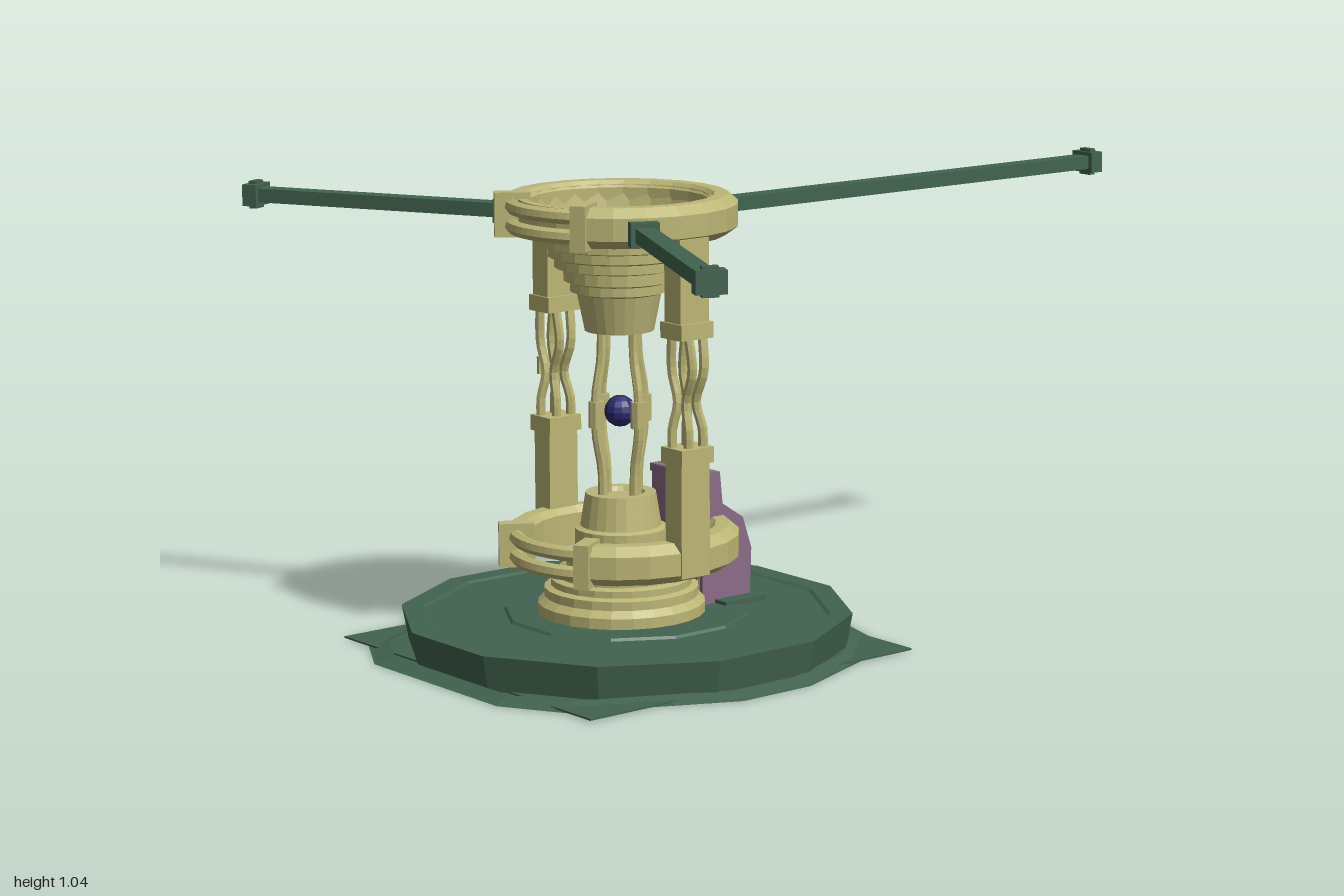
import * as THREE from 'three';

const CX = -0.48; // axis of the central machine
const mat = (color, side = THREE.FrontSide) => {
  const m = new THREE.MeshStandardMaterial({ color, flatShading: true, side });
  return m;
};
const green = mat(0x42634f), greenThin = mat(0x42634f, THREE.DoubleSide);
const brass = mat(0xbcb676), purple = mat(0x8a6c88), blue = mat(0x2c2c70);
const pts = (list) => list.map(([x, y]) => new THREE.Vector2(x, y));

function add(parent, name, geometry, material, x = 0, y = 0, z = 0) {
  const m = new THREE.Mesh(geometry, material);
  m.name = name;
  m.position.set(x, y, z);
  parent.add(m);
  return m;
}
const box = (p, name, m, w, h, d, x, y, z) => add(p, name, new THREE.BoxGeometry(w, h, d), m, x, y, z);
const lathe = (p, name, m, profile, seg) => add(p, name, new THREE.LatheGeometry(pts(profile), seg), m);
const tube = (p, name, m, list, r) => add(p, name, new THREE.TubeGeometry(
  new THREE.CatmullRomCurve3(list.map((v) => new THREE.Vector3(...v))), 14, r, 7), m);

// Twelve-sided plinth with a flared, uneven skirt and a square sheet under it
function base(root) {
  const half = [[-1, 0.23], [-0.92, 0.37], [-0.57, 0.54], [-0.38, 0.54], [-0.15, 0.45], [0, 0.31], [0.035, 0.19]];
  const outline = [...half, [0.063, 0], ...half.map(([x, z]) => [x, -z]).reverse()];
  const skirt = add(root, 'baseSkirt', new THREE.ShapeGeometry(new THREE.Shape(pts(outline))), greenThin, 0, 0.002, 0);
  skirt.rotation.x = -Math.PI / 2;
  // raise the middle of the skirt with a sloping rim
  const pos = [], n = outline.length;
  for (let i = 0; i < n; i++) {
    const [a, b] = [outline[i], outline[(i + 1) % n]];
    const up = ([x, z]) => [-0.467 + (x + 0.467) * 0.92, 0.014, z * 0.92];
    const A = [a[0], 0, a[1]], B = [b[0], 0, b[1]], C = up(b), D = up(a);
    pos.push(...A, ...B, ...C, ...A, ...C, ...D);
  }
  const rim = new THREE.BufferGeometry();
  rim.setAttribute('position', new THREE.Float32BufferAttribute(pos, 3));
  rim.computeVertexNormals();
  add(root, 'skirtSlope', rim, greenThin);
  box(root, 'baseSheet', green, 0.915, 0.004, 0.92, -0.467, 0.005, 0);

  const plinth = lathe(root, 'plinth', green, [[0, 0.004], [0.5, 0.004], [0.515, 0.085], [0.465, 0.085],
    [0.458, 0.08], [0.28, 0.08], [0.275, 0.086], [0.21, 0.086], [0, 0.086]], 12);
  plinth.position.x = -0.467;
  plinth.rotation.y = Math.PI / 12;
  add(root, 'undersideDisc', new THREE.CylinderGeometry(0.16, 0.16, 0.001, 28), brass, CX, 0.0005, 0);
  box(root, 'cabinetFoot', green, 0.12, 0.012, 0.26, -0.22, 0.088, 0);
}

// Stepped pedestal, glass-less core with bowed rods, and stepped funnel
function core(root) {
  const g = new THREE.Group();
  g.name = 'core';
  g.position.x = CX;
  root.add(g);
  lathe(g, 'pedestal', brass, [[0.19, 0.08], [0.19, 0.11], [0.175, 0.125], [0.175, 0.145], [0.16, 0.15], [0.16, 0.165],
    [0.145, 0.17], [0.145, 0.185], [0.125, 0.195], [0.125, 0.22], [0.105, 0.23], [0.105, 0.28], [0.092, 0.285],
    [0.08, 0.36], [0.055, 0.36], [0.05, 0.35], [0, 0.35]], 24);
  lathe(g, 'funnel', brass, [[0, 0.73], [0.078, 0.73], [0.095, 0.815], [0.11, 0.82], [0.11, 0.84], [0.125, 0.845],
    [0.125, 0.87], [0.145, 0.875], [0.145, 0.895], [0.16, 0.9], [0.16, 0.92], [0.18, 0.925], [0.18, 0.945],
    [0.225, 0.955], [0.225, 1.03], [0.205, 1.03], [0.195, 0.975], [0, 0.975]], 24);
  for (let i = 0; i < 4; i++) {
    const rod = new THREE.Group();
    rod.name = 'coreRod';
    rod.rotation.y = i * Math.PI / 2;
    g.add(rod);
    tube(rod, 'bowedRod', brass, [[0.05, 0.35, 0], [0.052, 0.42, 0], [0.067, 0.5, 0], [0.067, 0.59, 0], [0.052, 0.67, 0], [0.05, 0.74, 0]], 0.011);
    add(rod, 'rodCollar', new THREE.CylinderGeometry(0.018, 0.018, 0.06, 8), brass, 0.067, 0.545, 0);
  }
  add(g, 'coreOrb', new THREE.SphereGeometry(0.036, 12, 8), blue, 0, 0.545, 0);
}

// C-shaped ring whose gap on the -x side is bridged by a clamped pipe
function ring(root, name, y) {
  const g = new THREE.Group();
  g.name = name;
  g.position.set(CX, y, 0);
  root.add(g);
  const gap = 0.58;
  const profile = pts([[0.2, -0.045], [0.24, -0.045], [0.268, -0.025], [0.268, 0.025], [0.245, 0.045],
    [0.215, 0.045], [0.2, 0.03], [0.2, -0.045]]);
  add(g, 'ringBand', new THREE.LatheGeometry(profile, 18, Math.PI * 1.5 + gap, 2 * Math.PI - 2 * gap), brass);
  const arc = [];
  for (let i = -4; i <= 4; i++) {
    const a = Math.PI + i / 4 * (gap + 0.05);
    arc.push([Math.cos(a) * 0.238, 0, Math.sin(a) * 0.238]);
  }
  for (const dy of [-0.022, 0.022]) tube(g, 'bridgePipe', brass, arc.map(([x, , z]) => [x, dy, z]), 0.017);
  for (const s of [-1, 1]) {
    const a = Math.PI + s * gap;
    const end = box(g, 'ringClamp', brass, 0.08, 0.1, 0.035, Math.cos(a) * 0.236, 0.002, Math.sin(a) * 0.236);
    end.rotation.y = -a;
  }
}

// Box posts front and back, joined by bundles of bent cables
function column(root, s) {
  const g = new THREE.Group();
  g.name = s > 0 ? 'frontColumn' : 'backColumn';
  g.position.set(CX, 0, s * 0.24);
  root.add(g);
  box(g, 'lowerPost', brass, 0.08, 0.27, 0.056, 0, 0.345, 0);
  box(g, 'upperPost', brass, 0.08, 0.21, 0.056, 0, 0.86, 0);
  for (const y of [0.483, 0.762]) box(g, 'postCollar', brass, 0.09, 0.036, 0.074, 0, y, 0);
  for (let i = 0; i < 4; i++) {
    const x = (i - 1.5) * 0.02, z = (i % 2 ? 1 : -1) * 0.016, k = i % 2 ? 0.012 : -0.008;
    tube(g, 'cable', brass, [[x, 0.48, z], [x, 0.54, z], [x * 0.7, 0.6, z - k], [x * 0.8, 0.67, z + k], [x, 0.76, z]], 0.011);
  }
  if (s < 0) {
    box(g, 'valveStem', brass, 0.014, 0.014, 0.035, 0, 0.61, -0.028);
    box(g, 'valveHandle', brass, 0.03, 0.04, 0.008, 0, 0.61, -0.046);
  }
}

// Radial arm with a bracket at each end
function arm(root, name, angle, length) {
  const g = new THREE.Group();
  g.name = name;
  g.position.set(CX, 0.985, 0);
  g.rotation.y = angle;
  root.add(g);
  const r0 = 0.26;
  box(g, 'armBeam', green, length - r0 - 0.02, 0.032, 0.044, (length + r0) / 2, 0, 0);
  box(g, 'armRoot', green, 0.035, 0.054, 0.064, r0 + 0.02, 0, 0);
  box(g, 'armTip', green, 0.036, 0.05, 0.066, length - 0.018, 0, 0);
  box(g, 'armTipBand', green, 0.018, 0.064, 0.035, length - 0.018, 0, 0);
}

// Control cabinet with a sloped console and raised panels facing +x
function cabinet(root) {
  const g = new THREE.Group();
  g.name = 'cabinet';
  root.add(g);
  const side = new THREE.Shape(pts([[-0.325, 0.085], [-0.185, 0.085], [-0.18, 0.2], [-0.205, 0.275], [-0.265, 0.315],
    [-0.272, 0.385], [-0.325, 0.388]]));
  add(g, 'cabinetBody', new THREE.ExtrudeGeometry(side, { depth: 0.164, bevelEnabled: false }), purple, 0, 0, -0.082);
  for (const s of [-1, 1]) {
    const trim = new THREE.ExtrudeGeometry(side, { depth: 0.014, bevelEnabled: false });
    add(g, 'sideTrim', trim, purple, 0.008, 0, s * 0.083 - 0.007);
  }
  box(g, 'topTrim', purple, 0.06, 0.018, 0.18, -0.294, 0.381, 0);
  // lower door: frame bars round a plate
  for (const s of [-1, 1]) {
    box(g, 'doorFrameSide', purple, 0.012, 0.13, 0.012, -0.178, 0.155, s * 0.056);
    box(g, 'doorFrameBar', purple, 0.012, 0.012, 0.124, -0.178, 0.155 + s * 0.06, 0);
  }
  box(g, 'doorPlate', purple, 0.01, 0.085, 0.075, -0.178, 0.155, 0);
  // console strip and oval gauge
  const strip = box(g, 'consoleStrip', purple, 0.05, 0.01, 0.09, -0.235, 0.297, 0);
  strip.rotation.z = -0.59;
  const gauge = add(g, 'gauge', new THREE.TorusGeometry(0.04, 0.007, 6, 16), purple, -0.267, 0.345, 0);
  gauge.rotation.y = Math.PI / 2;
  gauge.scale.y = 0.55;
}

export function createModel() {
  const root = new THREE.Group();
  root.name = 'console';
  base(root);
  core(root);
  ring(root, 'lowerRing', 0.243);
  ring(root, 'upperRing', 0.993);
  for (const s of [-1, 1]) column(root, s);
  arm(root, 'leftArm', 0, 1.48);
  arm(root, 'frontArm', -2.036, 0.945);
  arm(root, 'backArm', 2.036, 0.945);
  cabinet(root);
  return root;
}
